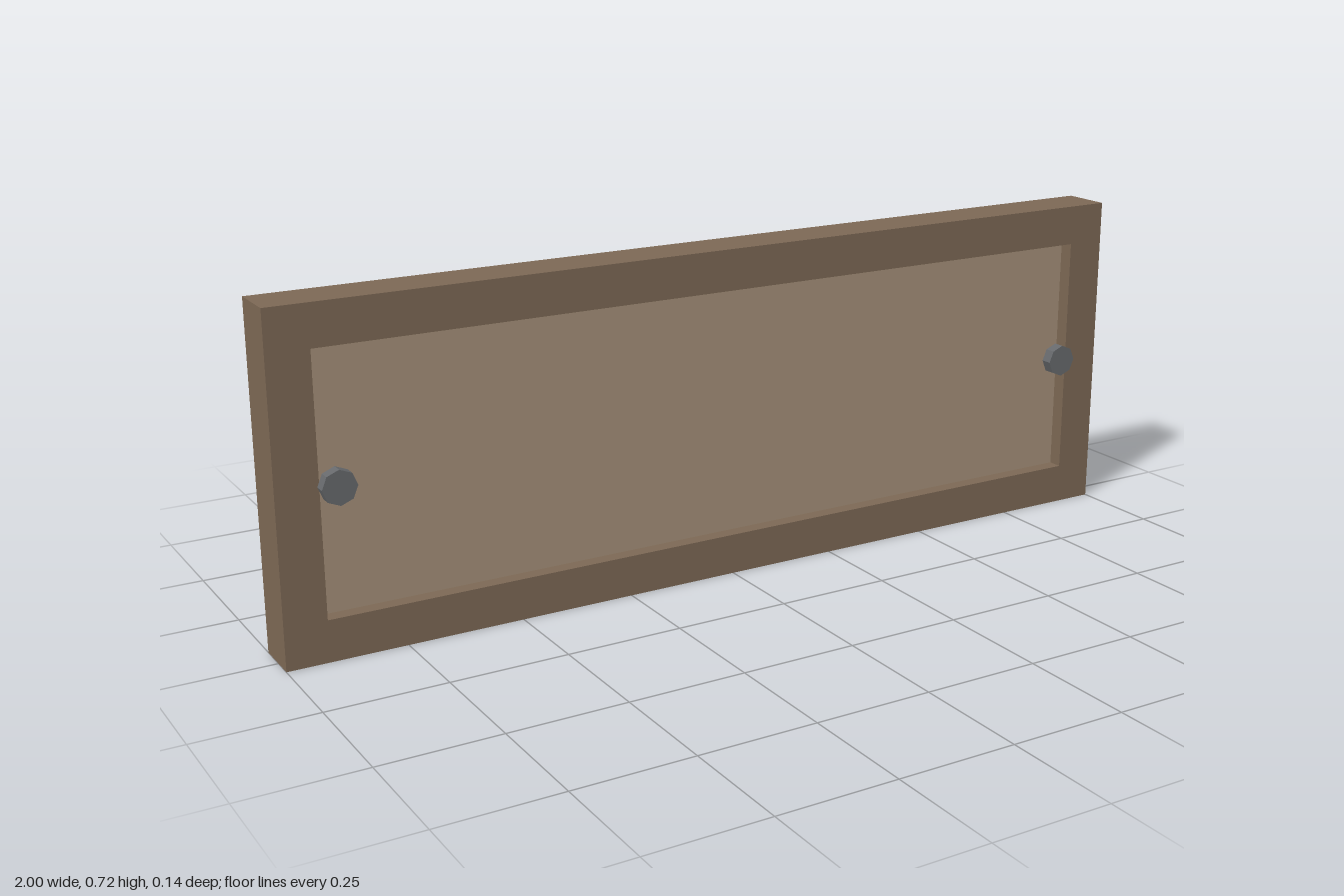
import * as THREE from 'three';

export function createModel() {
  const model = new THREE.Group();
  const frameWood = new THREE.MeshStandardMaterial({ color: 0x7c6854 });
  const panelWood = new THREE.MeshStandardMaterial({ color: 0xa48f79 });
  const darkMetal = new THREE.MeshStandardMaterial({ color: 0x66696c });
  frameWood.name = 'frame wood';
  panelWood.name = 'panel wood';
  darkMetal.name = 'dark metal';

  const HEIGHT = 0.716, MID = HEIGHT / 2;
  const FRONT = 0.047, BACK = -0.061;

  function add(name, geometry, material, x, y, z) {
    const mesh = new THREE.Mesh(geometry, material);
    mesh.name = name;
    mesh.position.set(x, y, z);
    model.add(mesh);
    return mesh;
  }

  // Counter-clockwise rectangle centred on the origin
  function rectangle(PathType, w, h) {
    return new PathType([
      new THREE.Vector2(-w / 2, -h / 2), new THREE.Vector2(w / 2, -h / 2),
      new THREE.Vector2(w / 2, h / 2), new THREE.Vector2(-w / 2, h / 2),
    ]);
  }

  // Frame with a rectangular opening
  const outline = rectangle(THREE.Shape, 2, HEIGHT);
  outline.holes.push(rectangle(THREE.Path, 1.824, 0.54));
  const frame = new THREE.ExtrudeGeometry(outline, { depth: FRONT - BACK, bevelEnabled: false });
  add('frame', frame, frameWood, 0, MID, BACK);

  // Panel recessed at the front and standing slightly proud at the back
  const panelFront = 0.015, panelBack = -0.071;
  add('panel', new THREE.BoxGeometry(1.953, 0.669, panelFront - panelBack), panelWood,
    0, MID, (panelFront + panelBack) / 2);

  // Octagonal bolt heads at the two ends
  const depth = 0.025;
  const bolt = new THREE.CylinderGeometry(0.036, 0.036, depth, 8).toNonIndexed();
  bolt.rotateX(Math.PI / 2);
  bolt.computeVertexNormals();
  for (const [name, side] of [['leftBolt', 1], ['rightBolt', -1]]) {
    add(name, bolt, darkMetal, side * 0.88, MID + 0.001, FRONT + depth / 2);
  }

  return model;
}
